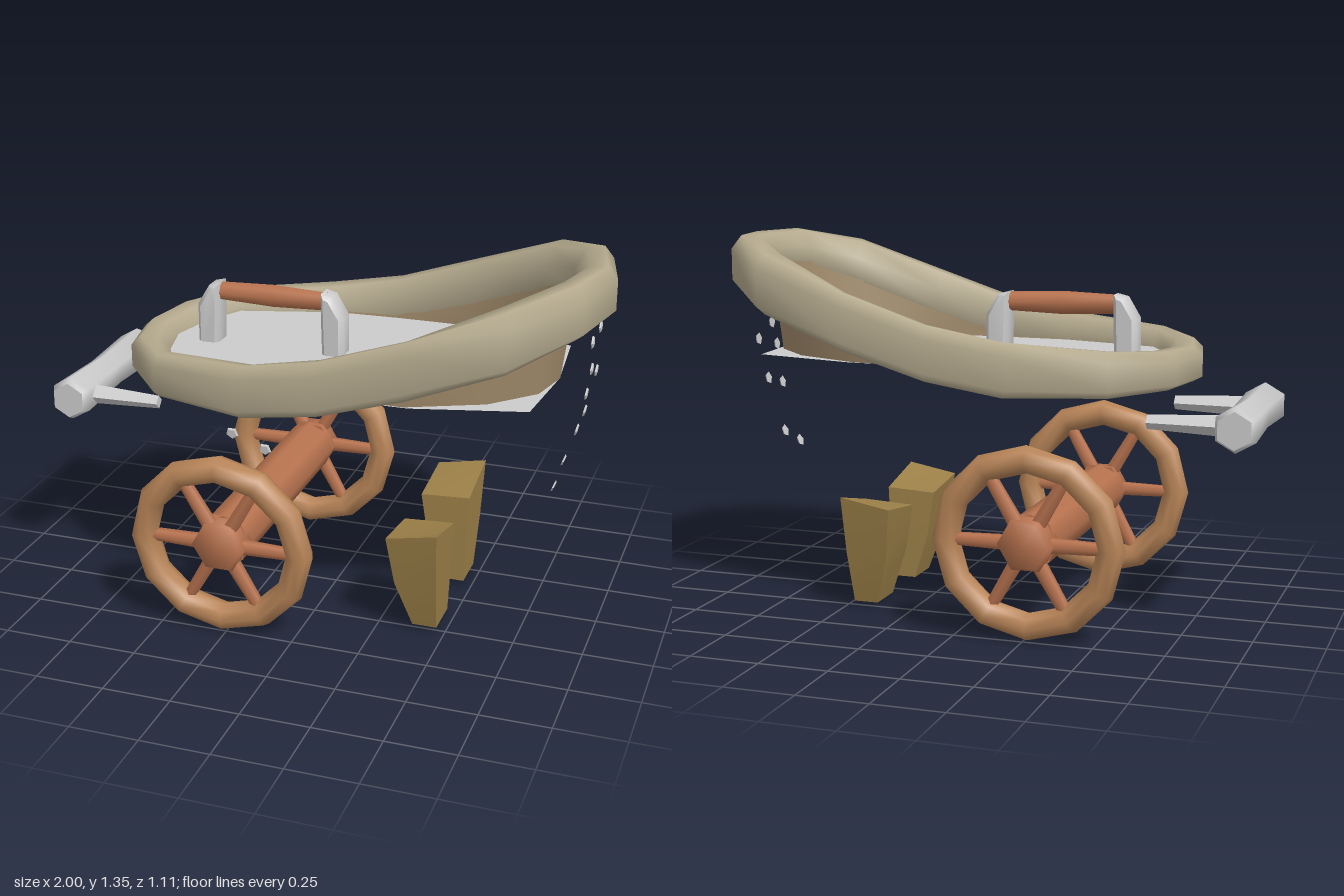
import * as THREE from 'three';
import { toCreasedNormals } from 'three/addons/utils/BufferGeometryUtils.js';

const mat = (color) => new THREE.MeshStandardMaterial({ color });
const grey = mat(0xcccccc);
const beige = mat(0xb5aa8e);
const tan = mat(0xa08a6a);
const copper = mat(0xb8734f);
const wheelWood = mat(0xb98558);
const legWood = mat(0x9c8048);

function add(parent, name, geo, material, x = 0, y = 0, z = 0) {
  const mesh = new THREE.Mesh(geo, material);
  mesh.name = name;
  mesh.position.set(x, y, z);
  parent.add(mesh);
  return mesh;
}

// Skin between rings of equal length; loop closes the path, otherwise ends get caps
function loft(rings, { loop = false, closedRing = true, caps = false } = {}) {
  const n = rings[0].length, m = rings.length, index = [];
  for (let i = 0; i < (loop ? m : m - 1); i++) {
    for (let j = 0; j < (closedRing ? n : n - 1); j++) {
      const i2 = (i + 1) % m, j2 = (j + 1) % n;
      const a = i * n + j, b = i2 * n + j, c = i * n + j2, d = i2 * n + j2;
      index.push(a, b, c, b, d, c);
    }
  }
  if (caps) {
    const t = (m - 1) * n;
    for (let j = 1; j < n - 1; j++) index.push(0, j, j + 1, t, t + j + 1, t + j);
  }
  const geo = new THREE.BufferGeometry();
  geo.setAttribute('position', new THREE.Float32BufferAttribute(rings.flat(2), 3));
  geo.setIndex(index);
  geo.computeVertexNormals();
  return geo;
}

// Turned solid from [radius, height] pairs
const turned = (profile, sides) => toCreasedNormals(
  new THREE.LatheGeometry(profile.map(([r, h]) => new THREE.Vector2(r, h)), sides), 1.15);

// Half of the rim: outer x, z, inner x, z, bottom, top
const RIM = [
  [-0.755, 0, -0.62, 0, 0.855, 0.98],
  [-0.71, 0.22, -0.58, 0.17, 0.85, 0.985],
  [-0.53, 0.43, -0.5, 0.32, 0.843, 1.0],
  [-0.19, 0.515, -0.13, 0.425, 0.84, 1.03],
  [0.1, 0.525, 0.1, 0.435, 0.885, 1.08],
  [0.4, 0.52, 0.4, 0.435, 0.975, 1.18],
  [0.74, 0.475, 0.67, 0.32, 1.085, 1.3],
  [0.94, 0.26, 0.82, 0.17, 1.16, 1.35],
  [1.0, 0, 0.86, 0, 1.17, 1.35],
];
const mirrorZ = ([ox, oz, ix, iz, lo, hi]) => [ox, -oz, ix, -iz, lo, hi];

function addBasin(root) {
  const basin = new THREE.Group();
  basin.name = 'basin';
  root.add(basin);

  // Thick rolled rim; section runs outer side, top, inner side, bottom
  const section = [[1, 0.15], [1, 0.75], [0.75, 1], [0.3, 0.97], [0, 0.65], [0.02, 0.25], [0.3, 0], [0.75, 0]];
  const all = [...RIM, ...RIM.slice(1, -1).reverse().map(mirrorZ)];
  const rings = all.map(([ox, oz, ix, iz, lo, hi]) => section.map(([t, u]) =>
    [ix + (ox - ix) * t, lo + (hi - lo) * u, iz + (oz - iz) * t]));
  add(basin, 'rim', loft(rings, { loop: true }), beige);

  // Wall between the floor and the raised end of the rim
  const half = RIM.slice(3);
  const path = [...half, ...half.slice(0, -1).reverse().map(mirrorZ)];
  const wall = path.map(([, , ix, iz, lo, hi]) =>
    [[ix * 0.955, 0.93, iz], [ix + 0.005, (lo + hi) / 2, iz * 1.02]]);
  const wallMat = tan.clone();
  wallMat.side = THREE.DoubleSide;
  add(basin, 'wall', loft(wall, { closedRing: false }), wallMat);

  // Flat floor with a squared-off rear end
  const side = [[-0.66, 0.1], [-0.53, 0.35], [-0.13, 0.45], [0.4, 0.44], [0.79, 0.34], [0.82, 0]];
  const outline = [...side, ...side.slice(0, -1).reverse().map(([x, z]) => [x, -z])];
  const floor = new THREE.ShapeGeometry(new THREE.Shape(outline.map(([x, z]) => new THREE.Vector2(x, z))));
  const floorMat = grey.clone();
  floorMat.side = THREE.DoubleSide;
  add(basin, 'floor', floor.rotateX(Math.PI / 2), floorMat, 0, 0.93, 0);
}

// Carrying handle standing on the floor
function addHandle(root) {
  const handle = new THREE.Group();
  handle.name = 'handle';
  handle.position.x = -0.243;
  root.add(handle);
  const grip = turned([[0, -0.21], [0.034, -0.21], [0.042, 0], [0.034, 0.21], [0, 0.21]], 8);
  add(handle, 'grip', grip.rotateZ(Math.PI / 2), copper, 0, 1.118, 0);
  for (const s of [-1, 1]) {
    const shape = new THREE.Shape([[0.2, 0.9], [0.28, 0.9], [0.28, 1.07], [0.235, 1.145], [0.195, 1.155], [0.195, 1.07]]
      .map(([x, y]) => new THREE.Vector2(s * x, y)));
    const geo = new THREE.ExtrudeGeometry(shape, {
      depth: 0.064, bevelEnabled: true, bevelSize: 0.014, bevelOffset: -0.014, bevelThickness: 0.018, bevelSegments: 1,
    });
    add(handle, 'handleBracket', toCreasedNormals(geo, 0.9), grey, 0, 0, -0.032);
  }
}

// Push bar with two tapering arms
function addPushBar(root) {
  const bar = new THREE.Group();
  bar.name = 'pushBar';
  bar.position.set(-0.93, 0.74, 0);
  root.add(bar);
  const geo = turned([[0, -0.315], [0.066, -0.315], [0.081, -0.285], [0.069, 0], [0.081, 0.285], [0.066, 0.315], [0, 0.315]], 6);
  add(bar, 'crossBar', geo.rotateX(Math.PI / 2), grey);
  for (const s of [-1, 1]) {
    const arm = new THREE.CylinderGeometry(0.038, 0.025, 0.27, 4).rotateZ(Math.PI / 2);
    add(bar, 'arm', toCreasedNormals(arm, 1), grey, 0.185, 0, s * 0.22);
  }
}

// Axle and two cambered spoked wheels
function addWheels(root) {
  const set = new THREE.Group();
  set.name = 'wheelSet';
  set.position.set(-0.265, 0.345, 0);
  root.add(set);
  const axle = new THREE.CylinderGeometry(0.096, 0.096, 0.92, 8).rotateX(Math.PI / 2);
  add(set, 'axle', axle, copper);
  for (const s of [-1, 1]) {
    const wheel = new THREE.Group();
    wheel.name = s > 0 ? 'frontWheel' : 'backWheel';
    wheel.position.z = s * 0.488;
    wheel.rotation.x = s * 0.045;
    set.add(wheel);
    add(wheel, 'tyre', new THREE.TorusGeometry(0.295, 0.049, 8, 12).scale(1, 1, 1.1), wheelWood);
    const hub = turned([[0, -0.05], [0.1, -0.05], [0.1, 0.03], [0.085, 0.05], [0, 0.05]], 6);
    hub.rotateY(Math.PI / 2).rotateX(s * Math.PI / 2);
    add(wheel, 'hub', hub, copper);
    for (let k = 0; k < 6; k++) {
      const spoke = new THREE.CylinderGeometry(0.023, 0.028, 0.2, 6).translate(0, 0.175, 0);
      add(wheel, 'spoke', spoke, copper).rotation.z = (k + 0.5) * Math.PI / 3;
    }
  }
}

// Two tapering feet, four corners per level
function addLegs(root) {
  const levels = [
    [[0.47, 0.02, 0.115], [0.47, 0.02, 0.265], [0.38, 0.02, 0.265], [0.38, 0.02, 0.115]],
    [[0.478, 0.2, 0.11], [0.478, 0.21, 0.315], [0.325, 0.2, 0.315], [0.325, 0.2, 0.11]],
    [[0.485, 0.37, 0.11], [0.485, 0.425, 0.35], [0.3, 0.39, 0.35], [0.3, 0.36, 0.11]],
  ];
  for (const s of [1, -1]) {
    const rings = levels.map((ring) => {
      const r = ring.map(([x, y, z]) => [x, y, s * z]);
      return s > 0 ? r : r.reverse();
    });
    add(root, s > 0 ? 'frontLeg' : 'backLeg', toCreasedNormals(loft(rings, { caps: true }), 0.3), legWood);
  }
}

// Small five-sided studs down the rear end and on one flank
function addStuds(root) {
  const stud = () => toCreasedNormals(new THREE.CylinderGeometry(0.018, 0.024, 0.006, 5), 0.3);
  const rear = [[0.94, 1.1, 0.065], [0.94, 1.11, -0.075], [0.94, 1.0, 0.055], [0.935, 0.95, -0.07], [0.93, 0.915, 0.075],
    [0.9, 0.77, 0.055], [0.905, 0.8, -0.055], [0.83, 0.545, 0.055], [0.84, 0.6, -0.055]];
  for (const [x, y, z] of rear) {
    add(root, 'rearStud', stud(), grey, x, y, z).rotation.z = -Math.PI / 2 - (1.1 - y) * 0.7;
  }
  for (const [x, y] of [[-0.213, 0.777], [-0.093, 0.733]]) {
    add(root, 'sideStud', stud(), grey, x, y, 0.49).rotation.x = Math.PI / 2 + 0.15;
  }
}

export function createModel() {
  const root = new THREE.Group();
  root.name = 'wheeledBasin';
  for (const build of [addBasin, addHandle, addPushBar, addWheels, addLegs, addStuds]) build(root);
  return root;
}
